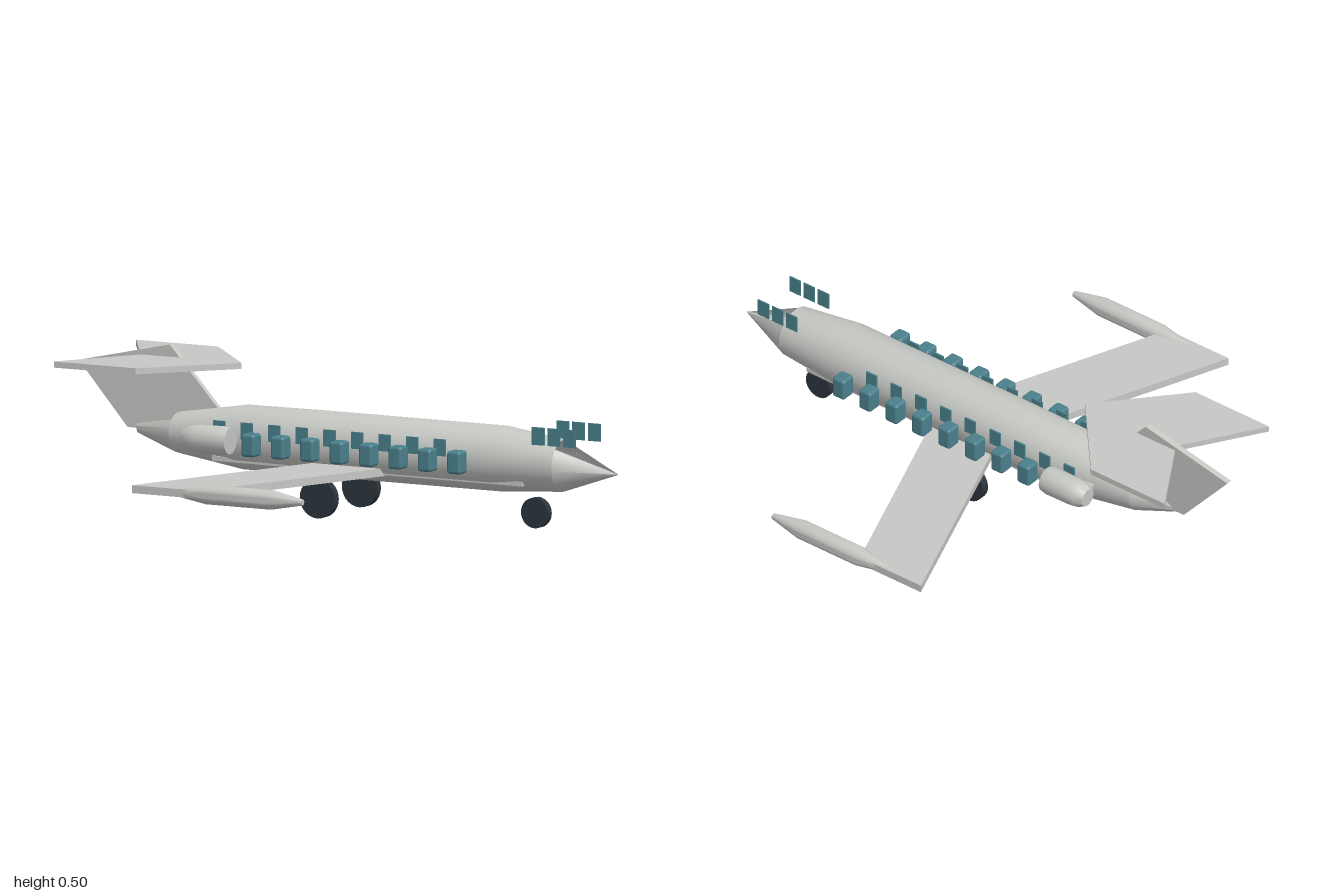
import * as THREE from 'three';
import { toCreasedNormals } from 'three/addons/utils/BufferGeometryUtils.js';
import { RoundedBoxGeometry } from 'three/addons/geometries/RoundedBoxGeometry.js';

const material = (name, color) => {
  const m = new THREE.MeshStandardMaterial({ color, side: THREE.DoubleSide });
  m.name = name;
  return m;
};

// Skin through circular sections [x, centreY, radius] along x.
// Angle 0 points up; a gap (radians) leaves the top open.
function loft(sections, { gap = 0, segments = 32 } = {}) {
  const positions = [], index = [];
  const closed = gap === 0;
  const row = closed ? segments : segments + 1;
  for (const [x, y, r] of sections) {
    for (let j = 0; j < row; j++) {
      const a = gap / 2 + (j / segments) * (2 * Math.PI - gap);
      positions.push(x, y + r * Math.cos(a), r * Math.sin(a));
    }
  }
  for (let i = 0; i < sections.length - 1; i++) {
    for (let j = 0; j < segments; j++) {
      const k = closed ? (j + 1) % segments : j + 1;
      const a = i * row + j, b = i * row + k, c = a + row, d = b + row;
      index.push(a, b, c, b, d, c);
    }
  }
  const geo = new THREE.BufferGeometry();
  geo.setAttribute('position', new THREE.Float32BufferAttribute(positions, 3));
  geo.setIndex(index);
  return toCreasedNormals(geo, 0.6);
}

// Flat plate from an outline of [u, v] points
function plate(points, thickness) {
  const shape = new THREE.Shape(points.map(([u, v]) => new THREE.Vector2(u, v)));
  return new THREE.ExtrudeGeometry(shape, { depth: thickness, bevelEnabled: false });
}

export function createModel() {
  const model = new THREE.Group();
  model.name = 'jet';
  const grey = material('light grey', 0xc6c8c4);
  const teal = material('teal glass', 0x4a808c);
  const dark = material('dark rubber', 0x2c353d);

  const add = (name, geo, mat, x = 0, y = 0, z = 0) => {
    const mesh = new THREE.Mesh(geo, mat);
    mesh.name = name;
    mesh.position.set(x, y, z);
    model.add(mesh);
    return mesh;
  };

  // Fuselage: closed barrel, with nose and tail cones open along the top
  add('fuselage', loft([
    [-0.63, 0.22, 0.066], [-0.38, 0.222, 0.105], [-0.1, 0.222, 0.107],
    [0.58, 0.222, 0.107], [0.8, 0.215, 0.085],
  ]), grey);
  add('noseCone', loft([[0.8, 0.215, 0.085], [1, 0.2, 0.001]], { gap: Math.PI / 2 }), grey);
  add('tailCone', loft([[-0.775, 0.226, 0.02], [-0.63, 0.22, 0.066]], { gap: Math.PI / 2 }), grey);
  add('cabinFloor', new THREE.BoxGeometry(1.15, 0.016, 0.164), grey, 0.115, 0.157, 0);

  // Swept main wing
  add('wing', plate([
    [0.207, 0], [-0.102, 0.8], [-0.353, 0.8], [-0.045, 0], [-0.353, -0.8], [-0.102, -0.8],
  ], 0.026).rotateX(Math.PI / 2), grey, 0, 0.171, 0);

  // Fin and tailplane
  add('fin', plate([
    [-1, 0.428], [-0.82, 0.222], [-0.4, 0.215], [-0.663, 0.503],
  ], 0.02), grey, 0, 0, -0.021);
  add('tailplane', plate([
    [-0.396, 0], [-0.636, 0.272], [-0.94, 0.272], [-0.77, 0], [-0.94, -0.272], [-0.636, -0.272],
  ], 0.02).rotateX(Math.PI / 2), grey, 0, 0.463, 0);

  const tank = loft([
    [-0.22, 0, 0], [-0.22, 0, 0.01], [-0.085, 0, 0.032],
    [0.155, 0, 0.032], [0.27, 0, 0.01], [0.27, 0, 0],
  ], { segments: 24 });
  const nacelle = loft([
    [-0.524, 0, 0], [-0.524, 0, 0.03], [-0.5, 0, 0.042], [-0.47, 0, 0.046],
    [-0.375, 0, 0.047], [-0.355, 0, 0.043], [-0.355, 0, 0],
  ], { segments: 24 });
  const pylon = new THREE.BoxGeometry(0.12, 0.016, 0.06);
  const cabinBlock = new RoundedBoxGeometry(0.05, 0.075, 0.054, 2, 0.01);
  const cabinPane = new THREE.BoxGeometry(0.043, 0.055, 0.006);
  const cockpitPane = new THREE.BoxGeometry(0.046, 0.058, 0.004);
  const mainWheel = new THREE.CylinderGeometry(0.065, 0.065, 0.027, 28).rotateX(Math.PI / 2);

  // Mirrored parts
  for (const [side, s] of [['near', 1], ['far', -1]]) {
    add(`${side}TipTank`, tank, grey, 0, 0.158, s * 0.782);
    add(`${side}Engine`, nacelle, grey, 0, 0.229, s * 0.147);
    add(`${side}EnginePylon`, pylon, grey, -0.44, 0.229, s * 0.09);
    add(`${side}MainWheel`, mainWheel, dark, -0.03, 0.066, s * 0.139);
    for (let i = 0; i < 8; i++) {
      add(`${side}CabinBlock`, cabinBlock, teal, -0.277 + i * 0.109, 0.223, s * 0.149);
    }
    for (let i = 0; i < 9; i++) {
      add(`${side}CabinWindow`, cabinPane, teal, -0.417 + i * 0.102, 0.259, s * 0.109);
    }
    for (let i = 0; i < 3; i++) {
      add(`${side}CockpitWindow`, cockpitPane, teal, 0.75 + i * 0.058, 0.318, s * 0.082);
    }
  }

  // Nose wheel
  add('noseWheel', new THREE.CylinderGeometry(0.05, 0.05, 0.026, 28).rotateX(Math.PI / 2),
    dark, 0.697, 0.054, 0);

  return model;
}
